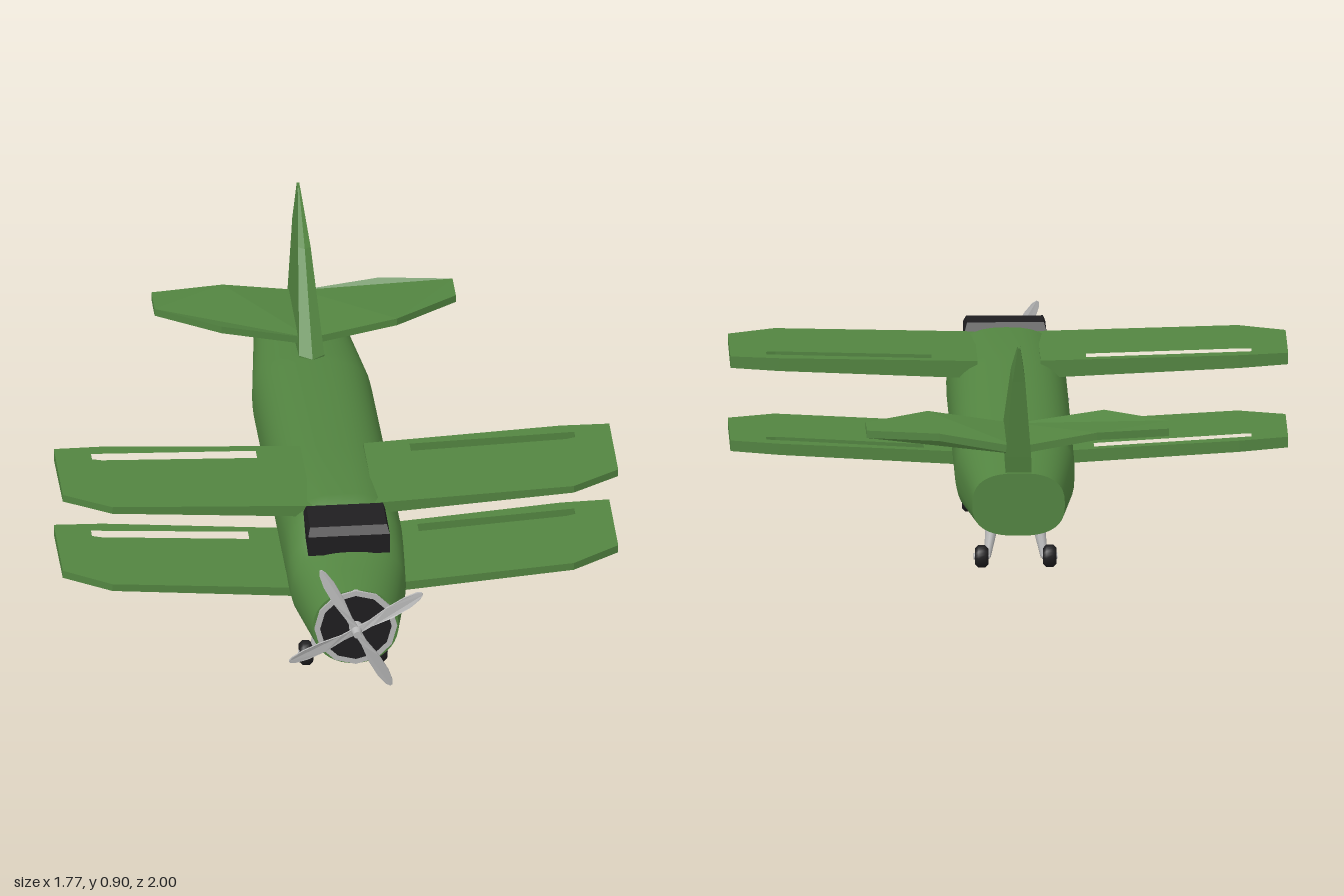
import * as THREE from 'three';

const material = (name, color) => {
  const m = new THREE.MeshStandardMaterial({ color });
  m.name = name;
  return m;
};

// Skin a list of equal-length rings (counter-clockwise seen from the first), with flat end caps
function loft(rings, smooth) {
  const n = rings[0].length, pos = [], index = [];
  rings.forEach(r => r.forEach(p => pos.push(...p)));
  for (let i = 0; i < rings.length - 1; i++)
    for (let j = 0; j < n; j++) {
      const a = i * n + j, b = i * n + (j + 1) % n;
      index.push(a, a + n, b, b, a + n, b + n);
    }
  const cap = (ring, flip) => {
    const base = pos.length / 3;
    ring.forEach(p => pos.push(...p));
    for (let j = 1; j < n - 1; j++)
      index.push(base, base + j + (flip ? 1 : 0), base + j + (flip ? 0 : 1));
  };
  cap(rings[0], false);
  cap(rings[rings.length - 1], true);
  let g = new THREE.BufferGeometry();
  g.setAttribute('position', new THREE.Float32BufferAttribute(pos, 3));
  g.setIndex(index);
  if (!smooth) g = g.toNonIndexed();
  g.computeVertexNormals();
  return g;
}

// Panel drawn in x/z, with optional slot; top and bottom heights follow rules of (|x|, z)
function panel(outline, slot, side, top, bottom) {
  const pts = list => list.map(([x, z]) => new THREE.Vector2(x * side, z));
  const shape = new THREE.Shape(pts(outline));
  if (slot) shape.holes.push(new THREE.Path(pts(slot)));
  const g = new THREE.ExtrudeGeometry(shape, { depth: 1, bevelEnabled: false }).rotateX(Math.PI / 2);
  const p = g.attributes.position;
  for (let i = 0; i < p.count; i++)
    p.setY(i, (p.getY(i) > -0.5 ? top : bottom)(Math.abs(p.getX(i)), p.getZ(i)));
  g.computeVertexNormals();
  return g;
}

// Tapered rod between two points
function rod(a, b, r1, r2) {
  const A = new THREE.Vector3(...a), B = new THREE.Vector3(...b), d = B.clone().sub(A);
  const g = new THREE.CylinderGeometry(r2, r1, d.length(), 10);
  g.applyQuaternion(new THREE.Quaternion().setFromUnitVectors(new THREE.Vector3(0, 1, 0), d.normalize()));
  return g.translate(...A.add(B).multiplyScalar(0.5).toArray());
}

export function createModel() {
  const green = material('green paint', 0x538541);
  const black = material('black', 0x1f1e20);
  const grey = material('light grey metal', 0xb8b8b8);
  const model = new THREE.Group();
  model.name = 'biplane';
  const add = (name, geometry, mat, parent = model) => {
    const m = new THREE.Mesh(geometry, mat);
    m.name = name;
    parent.add(m);
    return m;
  };

  // Fuselage stations: z, half width, bottom, top, roundness exponent
  const stations = [
    [0.94, 0.137, 0.232, 0.495, 2.1], [0.82, 0.16, 0.236, 0.503, 2.3],
    [0.71, 0.182, 0.242, 0.514, 2.5], [0.64, 0.186, 0.24, 0.532, 2.6],
    [0.57, 0.188, 0.237, 0.585, 2.6], [0.5, 0.19, 0.235, 0.604, 2.6],
    [0.15, 0.19, 0.232, 0.586, 2.6], [-0.5, 0.19, 0.228, 0.535, 2.6],
    [-0.56, 0.188, 0.23, 0.528, 2.6], [-0.94, 0.147, 0.278, 0.482, 2.6]
  ];
  const power = (v, n) => Math.sign(v) * Math.abs(v) ** (2 / n);
  const rings = stations.map(([z, w, lo, hi, n]) => Array.from({ length: 40 }, (_, j) => {
    const a = j / 40 * Math.PI * 2;
    return [w * power(Math.cos(a), n), (lo + hi) / 2 + (hi - lo) / 2 * power(Math.sin(a), n), z];
  }));
  add('fuselage', loft(rings, true), green);

  // Cockpit canopy: profiles across x, narrowing to the top
  const profile = [[0.555, 0.575], [0.57, 0.603], [0.695, 0.594], [0.72, 0.572], [0.72, 0.505], [0.63, 0.52]];
  const canopy = [0.13, -0.13].map(x => profile.map(([z, y]) => [x * (y > 0.58 ? 0.94 : 1), y, z]));
  add('canopy', loft(canopy, false), black);

  // Wings, thicker towards the trailing edge, and tailplane, mirrored
  const wing = [[0.1, 0.14], [0.73, 0.118], [0.885, 0.128], [0.885, 0.43], [0.735, 0.517], [0.1, 0.533]];
  const slot = inner => [[inner, 0.165], [0.77, 0.165], [0.77, 0.2], [0.74, 0.208], [inner, 0.212]];
  const tail = [[0, -0.6], [0.28, -0.617], [0.48, -0.755], [0.48, -0.865], [0.25, -0.9], [0, -0.915]];
  const tailTop = x => 0.562 + Math.min(x, 0.28) * 0.165 - Math.max(0, x - 0.28) * 0.01;
  for (const [side, label] of [[1, 'left'], [-1, 'right']]) {
    add(label + 'UpperWing', panel(wing, slot(0.245), side,
      x => 0.584 + (x - 0.14) * 0.03,
      (x, z) => 0.528 + (x - 0.14) * 0.055 + (z - 0.13) * 0.045), green);
    add(label + 'LowerWing', panel(wing, slot(0.27), side,
      x => 0.287 + (x - 0.14) * 0.06,
      (x, z) => 0.245 + (x - 0.14) * 0.07 + (z - 0.13) * 0.03), green);
    add(label + 'Tailplane', panel(tail, null, side, tailTop, x => tailTop(x) - 0.024), green);
  }

  // Fin sections: y, front z, rear z, half width
  const fin = [[0.905, -0.962, -1, 0.004], [0.79, -0.77, -0.98, 0.02], [0.535, -0.505, -0.94, 0.04], [0.45, -0.505, -0.925, 0.042]];
  add('fin', loft(fin.map(([y, f, r, w]) => {
    const s = f - Math.min(0.03, w * 0.75);
    return [[0, y, f], [w, y, s], [w, y, r], [-w, y, r], [-w, y, s]];
  }), false), green);

  // Engine face
  add('engineOpening', new THREE.CircleGeometry(0.118, 24).translate(0, 0.365, 0.943), black);
  const cowl = new THREE.CylinderGeometry(0.132, 0.132, 0.012, 12, 1, true);
  add('cowlRingOuter', cowl.rotateX(Math.PI / 2).translate(0, 0.365, 0.942), grey);
  add('cowlRing', new THREE.RingGeometry(0.114, 0.132, 12, 1, Math.PI / 2).translate(0, 0.365, 0.948), grey);

  // Propeller
  const prop = new THREE.Group();
  prop.name = 'propeller';
  prop.position.set(0, 0.365, 0.965);
  model.add(prop);
  add('hub', new THREE.CylinderGeometry(0.012, 0.022, 0.055, 16).rotateX(Math.PI / 2).translate(0, 0, 0.007), grey, prop);
  const outline = [[0.012, 0], [0.01, 0.05], [0.019, 0.12], [0.019, 0.185], [0.012, 0.225], [0.004, 0.24]];
  const blade = new THREE.ExtrudeGeometry(new THREE.Shape([
    ...outline.map(([x, y]) => new THREE.Vector2(x, y)),
    ...outline.slice().reverse().map(([x, y]) => new THREE.Vector2(-x, y))
  ]), { depth: 0.007, bevelEnabled: false });
  const bp = blade.attributes.position;
  for (let i = 0; i < bp.count; i++) // pitch, and sweep back towards the tip
    bp.setZ(i, bp.getZ(i) + bp.getX(i) * 0.15 - 0.35 * bp.getY(i) ** 2);
  blade.computeVertexNormals();
  for (let i = 0; i < 4; i++)
    add('blade', blade, grey, prop).rotation.z = THREE.MathUtils.degToRad(28 + i * 90);

  // Landing gear
  const wheel = (x, y, z, r, label) => {
    const g = new THREE.Group();
    g.name = label;
    g.position.set(x, y, z);
    model.add(g);
    const h = 0.021;
    const tyre = [[0.008, -h], [r - 0.01, -h], [r, -h / 2], [r, h / 2], [r - 0.01, h], [0.008, h]];
    add('tyre', new THREE.LatheGeometry(tyre.map(p => new THREE.Vector2(...p)), 20).rotateZ(Math.PI / 2), black, g);
    add('axle', new THREE.CylinderGeometry(0.01, 0.01, 0.05, 12).rotateZ(Math.PI / 2), grey, g);
  };
  for (const s of [1, -1]) {
    wheel(s * 0.118, 0.04, 0.512, 0.04, 'frontWheel');
    wheel(s * 0.108, 0.128, -0.6, 0.036, 'rearWheel');
    add('frontStrut', rod([s * 0.06, 0.26, 0.502], [s * 0.09, 0.04, 0.512], 0.015, 0.017), grey);
    add('frontBrace', rod([s * 0.07, 0.205, 0.505], [s * -0.075, 0.07, 0.51], 0.006, 0.006), grey);
    add('rearStrut', rod([s * 0.07, 0.25, -0.55], [s * 0.09, 0.125, -0.6], 0.024, 0.011), grey);
  }
  return model;
}
